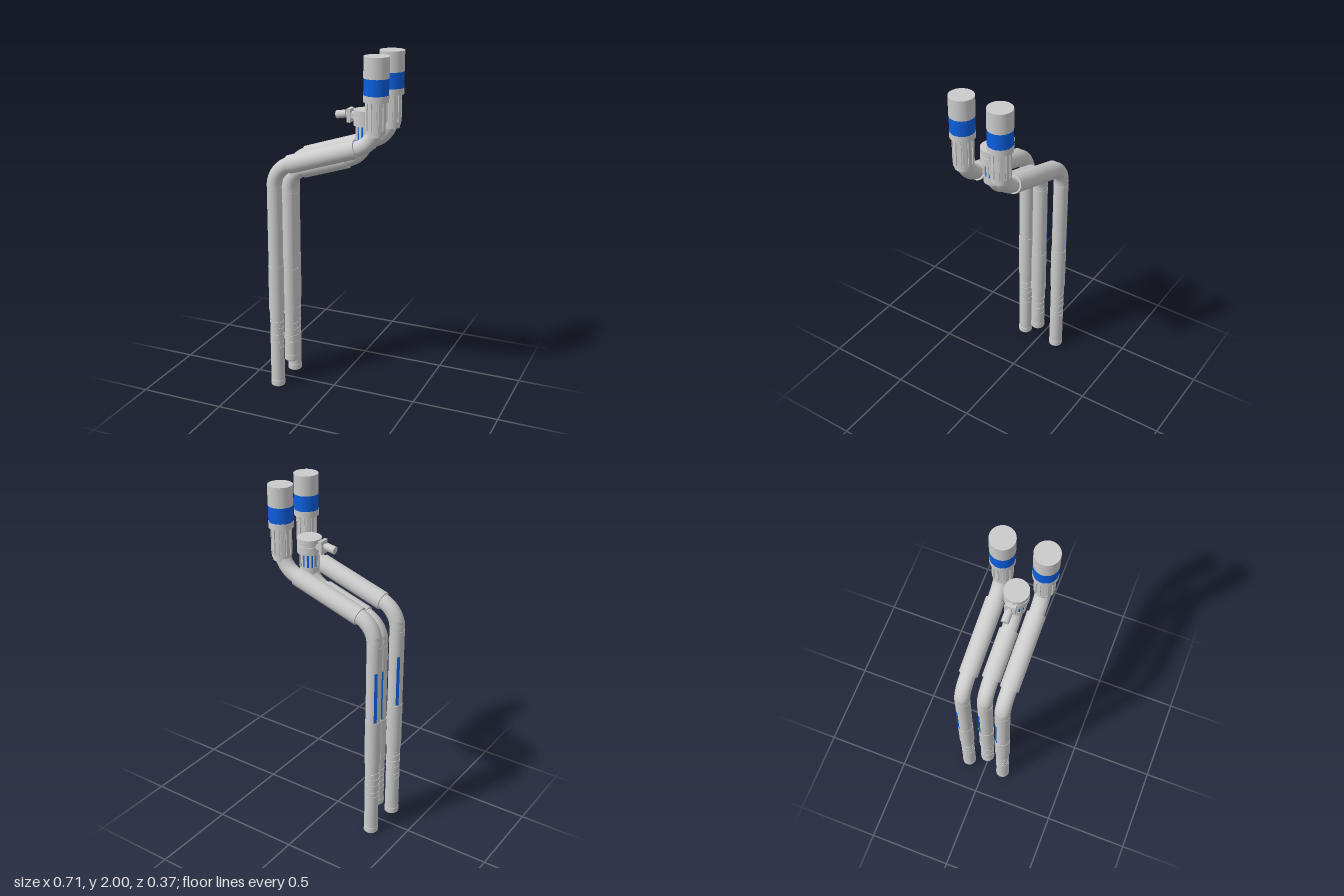
import * as THREE from 'three';

const grey = new THREE.MeshStandardMaterial({ color: 0xcccccc });
const blue = new THREE.MeshStandardMaterial({ color: 0x0b5fe0 });
const SLOPE = 0.321; // rise of the slanted run
const runDir = new THREE.Vector3(1, SLOPE, 0).normalize();
const up = new THREE.Vector3(0, 1, 0);

function add(parent, name, geometry, material = grey) {
  const mesh = new THREE.Mesh(geometry, material);
  mesh.name = name;
  parent.add(mesh);
  return mesh;
}

// Upright cylinder spanning y0..y1
function drum(parent, name, r, x, y0, y1, material = grey) {
  const mesh = add(parent, name, new THREE.CylinderGeometry(r, r, y1 - y0, 40), material);
  mesh.position.set(x, (y0 + y1) / 2, 0);
  return mesh;
}

// Rounded elbow around a corner, t = tangent length
function elbow(parent, name, corner, dirIn, dirOut, t, r) {
  const at = (dir, d) => corner.clone().addScaledVector(dir, d);
  const curve = new THREE.CubicBezierCurve3(
    at(dirIn, -t), at(dirIn, -0.405 * t), at(dirOut, 0.405 * t), at(dirOut, t));
  return add(parent, name, new THREE.TubeGeometry(curve, 20, r, 32));
}

// Straight cylinder between two points
function rod(parent, name, a, b, r) {
  const mesh = add(parent, name, new THREE.CylinderGeometry(r, r, a.distanceTo(b), 40));
  mesh.position.copy(a).lerp(b, 0.5);
  mesh.quaternion.setFromUnitVectors(up, b.clone().sub(a).normalize());
  return mesh;
}

// Ring of upright bars around a drum
function ribs(parent, name, count, r, width, x, y0, y1, material = grey) {
  for (let i = 0; i < count; i++) {
    const a = ((i + 0.5) / count) * Math.PI * 2;
    const bar = add(parent, name, new THREE.BoxGeometry(width, y1 - y0, 0.012), material);
    bar.position.set(x + Math.sin(a) * (r - 0.006), (y0 + y1) / 2, Math.cos(a) * (r - 0.006));
    bar.rotation.y = a;
  }
}

// Lathe with sharp steps: each straight section gets its own pair of points
function steppedLathe(points) {
  const pts = [];
  for (let i = 0; i < points.length - 1; i++) {
    const [a, b] = [points[i], points[i + 1]].map((p) => new THREE.Vector2(p[0], p[1]));
    pts.push(a, a.clone().lerp(b, 0.001), b.clone().lerp(a, 0.001));
  }
  pts.push(new THREE.Vector2(...points[points.length - 1]));
  return new THREE.LatheGeometry(pts, 40);
}

// Vertical leg with its recessed foot, grooves, thick band and upper sleeve
function leg(parent, x, y0, band0, band1, top, grooves) {
  const profile = [[0, y0 + 0.015], [0.034, y0 + 0.015], [0.034, y0 + 0.004], [0.037, y0], [0.042, y0 + 0.006],
    [0.042, y0 + 0.036], [0.0405, y0 + 0.04]];
  for (const g of grooves) {
    profile.push([0.0405, g - 0.003], [0.038, g - 0.003], [0.038, g + 0.003], [0.0405, g + 0.003]);
  }
  profile.push([0.0405, band0], [0.0445, band0], [0.0445, band1], [0.0425, band1],
    [0.0425, top], [0.041, top], [0.041, top + 0.06]);
  add(parent, 'leg', steppedLathe(profile)).position.x = x;

  // Coloured strip set in the upper sleeve
  const a = Math.PI + 0.84;
  const strip = add(parent, 'legStrip', new THREE.BoxGeometry(0.017, 0.31, 0.006), blue);
  strip.position.set(x + Math.sin(a) * 0.0405, band1 + 0.16, Math.cos(a) * 0.0405);
  strip.rotation.y = a;
}

// Leg, lower elbow, slanted run with sleeve, and upper elbow
function pipe(parent, p) {
  leg(parent, p.legX, p.foot, p.band0, p.band1, p.legTop, p.grooves);
  const point = (x) => new THREE.Vector3(x, p.runY + (x - p.legX) * SLOPE, 0);
  const low = point(p.legX), high = point(p.headX);
  elbow(parent, 'lowerElbow', low, up, runDir, p.bend, 0.043);
  elbow(parent, 'upperElbow', high, runDir, up, p.bend, 0.043);
  rod(parent, 'slantedRun', low.clone().addScaledVector(runDir, p.bend),
    high.clone().addScaledVector(runDir, -p.bend), 0.043);
  rod(parent, 'runSleeve', point(p.sleeve[0]), point(p.sleeve[1]), 0.052);
}

// Tall head with ribbed grip, coloured band and cap
function tallHead(parent, x) {
  drum(parent, 'headCollar', 0.048, x, 1.58, 1.612);
  drum(parent, 'gripCore', 0.052, x, 1.605, 1.77);
  ribs(parent, 'gripRib', 12, 0.0565, 0.021, x, 1.615, 1.768);
  drum(parent, 'gripBase', 0.055, x, 1.6, 1.615);
  drum(parent, 'headRing', 0.068, x, 1.765, 1.8);
  drum(parent, 'colourBand', 0.067, x, 1.8, 1.888, blue);
  drum(parent, 'cap', 0.068, x, 1.888, 2);
}

// Short head with coloured slots, grooved cap, bracket and nozzle
function shortHead(parent, x) {
  drum(parent, 'headCollar', 0.053, x, 1.485, 1.53);
  drum(parent, 'slotCore', 0.051, x, 1.525, 1.607, blue);
  ribs(parent, 'slotRib', 14, 0.0555, 0.013, x, 1.525, 1.607);
  drum(parent, 'capLower', 0.068, x, 1.607, 1.651);
  drum(parent, 'capGroove', 0.063, x, 1.648, 1.662);
  drum(parent, 'cap', 0.068, x, 1.658, 1.692);
  add(parent, 'bracket', new THREE.BoxGeometry(0.02, 0.075, 0.06)).position.set(0.097, 1.655, 0);
  for (const s of [-1, 1]) {
    add(parent, 'bracketArm', new THREE.BoxGeometry(0.04, 0.028, 0.012)).position.set(0.12, 1.655, s * 0.02);
  }
  rod(parent, 'nozzle', new THREE.Vector3(0.017, 1.65, 0), new THREE.Vector3(0.075, 1.66, 0), 0.022);
  rod(parent, 'nozzleStem', new THREE.Vector3(0.07, 1.659, 0), new THREE.Vector3(0.13, 1.664, 0), 0.013);
}

export function createModel() {
  const model = new THREE.Group();
  model.name = 'pipeSet';

  // Two matching outer pipes
  for (const z of [-0.115, 0.115]) {
    const outer = new THREE.Group();
    outer.name = z > 0 ? 'frontPipe' : 'backPipe';
    outer.position.z = z;
    pipe(outer, {
      legX: -0.314, foot: 0, band0: 0.48, band1: 0.76, legTop: 1.225, runY: 1.341, headX: 0.288,
      bend: 0.105, sleeve: [-0.218, 0.182], grooves: [0.26, 0.29, 0.34, 0.38, 0.42],
    });
    tallHead(outer, 0.288);
    model.add(outer);
  }

  // Shorter middle pipe
  const middle = new THREE.Group();
  middle.name = 'middlePipe';
  pipe(middle, {
    legX: -0.279, foot: 0.12, band0: 0.43, band1: 0.71, legTop: 1.175, runY: 1.292, headX: 0.187,
    bend: 0.1, sleeve: [-0.184, 0.08], grooves: [0.25, 0.29, 0.33, 0.37],
  });
  drum(middle, 'legRing', 0.0455, -0.279, 0.43, 0.47);
  shortHead(middle, 0.187);
  model.add(middle);

  return model;
}
